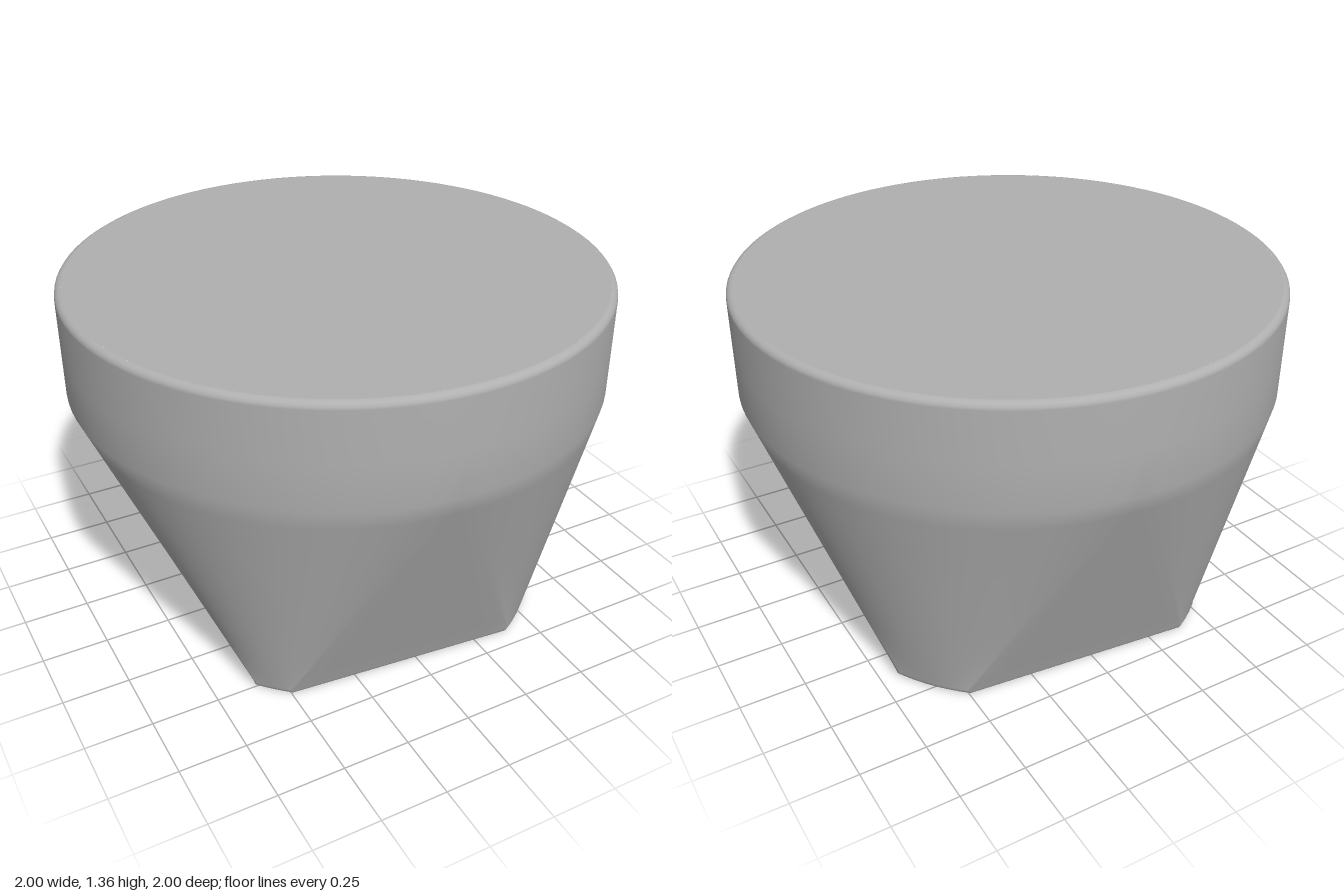
import * as THREE from 'three';
import { mergeVertices } from 'three/addons/utils/BufferGeometryUtils.js';

const HEIGHT = 1.355, SHOULDER = 0.97, FOOT_RADIUS = 0.787, FILLET = 0.025;
const TWIST = THREE.MathUtils.degToRad(5.3);
const FACE_DISTANCE = [0.65, 0.65, 0.555, 0.65]; // left, front, right, back flats at the foot
const FLAT_STEPS = 8, CORNER_STEPS = 24;

// Pairs of foot and rim points: each flat runs up to one rim point, each corner fans out to a quarter rim
function outline() {
  const polar = (r, a) => new THREE.Vector2(r * Math.cos(a), r * Math.sin(a));
  const foot = [], rim = [];
  for (let k = 0; k < 4; k++) {
    const a = TWIST + k * Math.PI / 2, b = a + Math.PI / 2;
    const halfA = Math.acos(FACE_DISTANCE[k] / FOOT_RADIUS);
    const halfB = Math.acos(FACE_DISTANCE[(k + 1) % 4] / FOOT_RADIUS);
    const start = polar(FOOT_RADIUS, a - halfA), end = polar(FOOT_RADIUS, a + halfA);
    for (let i = 0; i < FLAT_STEPS; i++) {
      foot.push(start.clone().lerp(end, i / FLAT_STEPS));
      rim.push(polar(1, a));
    }
    for (let i = 0; i < CORNER_STEPS; i++) {
      const t = i / CORNER_STEPS;
      foot.push(polar(FOOT_RADIUS, THREE.MathUtils.lerp(a + halfA, b - halfB, t)));
      rim.push(polar(1, THREE.MathUtils.lerp(a, b, t)));
    }
  }
  return { foot, rim };
}

// Side wall: rows of [height, blend from foot to rim, scale]
function wallGeometry({ foot, rim }) {
  const rows = [];
  for (let i = 0; i < 4; i++) { // rounded foot edge
    const a = i / 4 * Math.PI / 2;
    rows.push([FILLET * (1 - Math.cos(a)), 0, 1 - FILLET / 0.7 * (1 - Math.sin(a))]);
  }
  for (let i = 0; i <= 12; i++) { // taper
    rows.push([THREE.MathUtils.lerp(FILLET, SHOULDER, i / 12), i / 12, 1]);
  }
  rows.push([1.14, 1, 1]); // straight collar
  for (let i = 0; i <= 4; i++) { // rounded top edge
    const a = i / 4 * Math.PI / 2;
    rows.push([HEIGHT - FILLET * (1 - Math.sin(a)), 1, 1 - FILLET * (1 - Math.cos(a))]);
  }
  const n = foot.length, positions = [], index = [];
  rows.forEach(([y, blend, scale], j) => {
    for (let i = 0; i < n; i++) {
      const p = foot[i].clone().lerp(rim[i], blend).multiplyScalar(scale);
      positions.push(p.x, y, p.y);
      if (j === rows.length - 1) continue;
      const a = j * n + i, b = j * n + (i + 1) % n;
      index.push(a, a + n, b, b, a + n, b + n);
    }
  });
  const geometry = new THREE.BufferGeometry();
  geometry.setAttribute('position', new THREE.Float32BufferAttribute(positions, 3));
  geometry.setIndex(index);
  const merged = mergeVertices(geometry, 1e-5);
  merged.computeVertexNormals();
  return merged;
}

export function createModel() {
  const group = new THREE.Group();
  group.name = 'taperedKnob';
  const grey = new THREE.MeshStandardMaterial({ name: 'grey', color: 0xb0b0b0 });
  const add = (name, geometry) => {
    const mesh = new THREE.Mesh(geometry, grey);
    mesh.name = name;
    group.add(mesh);
    return mesh;
  };
  const shape = outline();

  add('sideWall', wallGeometry(shape));

  // Flat top disc
  const top = new THREE.CircleGeometry(1 - FILLET, 128).rotateX(-Math.PI / 2);
  add('topFace', top).position.y = HEIGHT;

  // Flat underside
  const inset = 1 - FILLET / 0.7;
  const under = new THREE.Shape(shape.foot.map((p) => p.clone().multiplyScalar(inset)));
  add('bottomFace', new THREE.ShapeGeometry(under).rotateX(Math.PI / 2));

  return group;
}
